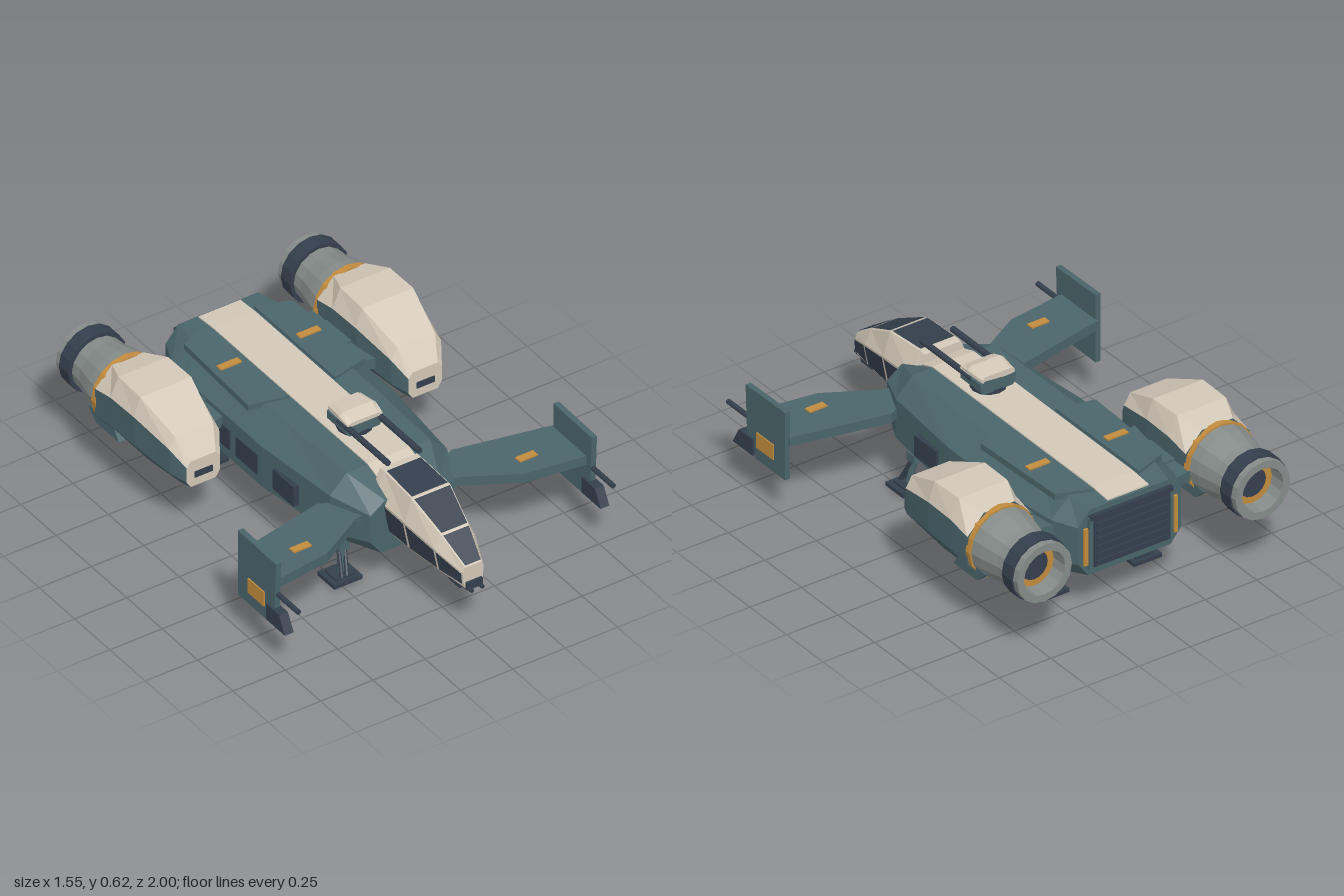
import * as THREE from 'three';

const mat = (name, color) => {
  const m = new THREE.MeshStandardMaterial({ color });
  m.name = name;
  return m;
};
const teal = mat('teal hull', 0x4a656b);
const cream = mat('cream panel', 0xd3c8b8);
const dark = mat('dark navy', 0x343f4d);
const grey = mat('engine grey', 0x858c89);
const orange = mat('orange accent', 0xc28c3e);

export function createModel() {
  const root = new THREE.Group();
  root.name = 'dropship';

  const add = (name, geo, material) => {
    const m = new THREE.Mesh(geo, material);
    m.name = name;
    root.add(m);
    return m;
  };
  const flat = (g) => {
    const n = g.index ? g.toNonIndexed() : g;
    n.computeVertexNormals();
    return n;
  };
  const box = (name, material, w, h, d, x, y, z) => {
    const m = add(name, new THREE.BoxGeometry(w, h, d), material);
    m.position.set(x, y, z);
    return m;
  };
  // round bar between two points
  const rod = (name, material, a, b, r, sides = 8) => {
    const p = new THREE.Vector3(...a), q = new THREE.Vector3(...b);
    const m = add(name, flat(new THREE.CylinderGeometry(r, r, p.distanceTo(q), sides)), material);
    m.position.copy(p).add(q).multiplyScalar(0.5);
    m.quaternion.setFromUnitVectors(new THREE.Vector3(0, 1, 0), q.sub(p).normalize());
    return m;
  };
  const extrude = (pts, depth) => new THREE.ExtrudeGeometry(
    new THREE.Shape(pts.map(([x, y]) => new THREE.Vector2(x, y))), { depth, bevelEnabled: false });
  // flat slab from an outline in x and z
  const slab = (name, material, pts, y, h) => {
    const m = add(name, extrude(pts.map(([x, z]) => [x, -z]), h).rotateX(-Math.PI / 2), material);
    m.position.y = y;
    return m;
  };
  // upright slab from an outline in z and y
  const fin = (name, material, pts, x, t) => {
    const m = add(name, extrude(pts.map(([z, y]) => [-z, y]), t).rotateY(Math.PI / 2), material);
    m.position.x = x - t / 2;
    return m;
  };
  // eight-sided section: half widths of top, shoulder, flank, belly and their heights
  const oct = (z, t, w, v, b, yt, ys, yl, yb) =>
    [[v, yl], [w, ys], [t, yt], [-t, yt], [-w, ys], [-v, yl], [-b, yb], [b, yb]]
      .map(([x, y]) => new THREE.Vector3(x, y, z));
  // skin over sections listed front to back; one material index per band, then front and back caps
  const loft = (name, rings, mats, bands, caps = [0, 0]) => {
    const lists = mats.map(() => []);
    const n = rings[0].length;
    const tri = (k, ...v) => v.forEach((p) => lists[k].push(p.x, p.y, p.z));
    for (let r = 0; r + 1 < rings.length; r++) {
      for (let i = 0; i < n; i++) {
        const j = (i + 1) % n, F = rings[r], B = rings[r + 1], k = bands[i] || 0;
        tri(k, F[i], B[i], F[j]);
        tri(k, F[j], B[i], B[j]);
      }
    }
    const first = rings[0], last = rings[rings.length - 1];
    for (let i = 1; i + 1 < n; i++) {
      tri(caps[0], first[0], first[i], first[i + 1]);
      tri(caps[1], last[0], last[i + 1], last[i]);
    }
    const g = new THREE.BufferGeometry();
    g.setAttribute('position', new THREE.Float32BufferAttribute(lists.flat(), 3));
    let start = 0;
    lists.forEach((l, k) => { g.addGroup(start, l.length / 3, k); start += l.length / 3; });
    g.computeVertexNormals();
    return add(name, g, mats);
  };
  // thin glass pane lying on one facet between two sections
  const pane = (F, B, i) => {
    const c = [F[i], B[i], B[i + 1], F[i + 1]];
    const mid = c.reduce((s, p) => s.add(p), new THREE.Vector3()).multiplyScalar(0.25);
    const nrm = c[2].clone().sub(c[0]).cross(c[3].clone().sub(c[1])).normalize();
    const q = c.map((p) => p.clone().lerp(mid, 0.07).addScaledVector(nrm, 0.005));
    const g = new THREE.BufferGeometry().setFromPoints([q[0], q[1], q[2], q[0], q[2], q[3]]);
    g.computeVertexNormals();
    add('cockpitWindow', g, dark);
  };
  const turned = (name, material, pts, x, y) => {
    const g = new THREE.LatheGeometry(pts.map(([r, z]) => new THREE.Vector2(r, z)), 16);
    add(name, flat(g.rotateX(Math.PI / 2)), material).position.set(x, y, 0);
  };

  // fuselage
  loft('hull', [
    oct(0.54, 0.13, 0.2, 0.2, 0.15, 0.45, 0.4, 0.27, 0.2),
    oct(0.37, 0.2, 0.28, 0.28, 0.21, 0.51, 0.43, 0.25, 0.185),
    oct(-0.05, 0.21, 0.32, 0.32, 0.25, 0.51, 0.43, 0.235, 0.17),
    oct(-0.55, 0.21, 0.32, 0.32, 0.25, 0.51, 0.43, 0.235, 0.17),
    oct(-0.72, 0.21, 0.3, 0.3, 0.24, 0.51, 0.43, 0.24, 0.175),
    oct(-0.835, 0.19, 0.25, 0.25, 0.2, 0.5, 0.43, 0.26, 0.195),
  ], [teal], []);
  loft('dorsalStripe', [[0.48, 0.479], [0.37, 0.515], [-0.72, 0.515], [-0.825, 0.507]].map(([z, y]) =>
    [[0.1, y - 0.02], [0.1, y], [-0.1, y], [-0.1, y - 0.02]].map(([x, h]) => new THREE.Vector3(x, h, z))),
  [cream], []);

  // cockpit and its glass
  const nose = [
    oct(0.97, 0.04, 0.05, 0.045, 0.04, 0.345, 0.32, 0.265, 0.245),
    oct(0.84, 0.066, 0.095, 0.075, 0.06, 0.435, 0.375, 0.275, 0.25),
    oct(0.67, 0.092, 0.125, 0.1, 0.08, 0.52, 0.415, 0.285, 0.255),
    oct(0.47, 0.088, 0.135, 0.11, 0.09, 0.532, 0.43, 0.29, 0.255),
    oct(0.44, 0.088, 0.13, 0.11, 0.09, 0.53, 0.43, 0.29, 0.255),
  ];
  loft('cockpit', nose, [cream], []);
  for (let r = 0; r < 3; r++) [0, 2, 4].forEach((i) => pane(nose[r], nose[r + 1], i));
  box('noseSensor', dark, 0.09, 0.04, 0.08, 0, 0.247, 0.9);
  box('noseTip', dark, 0.075, 0.035, 0.03, 0, 0.255, 0.967);

  // roof turret
  rod('turretRing', dark, [0, 0.505, 0.13], [0, 0.535, 0.13], 0.075, 12);
  loft('turretBody', [
    oct(0.2, 0.065, 0.085, 0.085, 0.07, 0.59, 0.58, 0.545, 0.53),
    oct(0.06, 0.065, 0.085, 0.085, 0.07, 0.59, 0.58, 0.545, 0.53),
  ], [teal], []);
  loft('turretCap', [
    oct(0.205, 0.06, 0.082, 0.085, 0.075, 0.598, 0.594, 0.588, 0.58),
    oct(0.15, 0.07, 0.088, 0.088, 0.075, 0.62, 0.607, 0.59, 0.58),
    oct(0.06, 0.06, 0.078, 0.08, 0.07, 0.61, 0.6, 0.588, 0.58),
  ], [cream], []);

  // rear cargo grille
  box('rampFrame', teal, 0.41, 0.24, 0.02, 0, 0.345, -0.838);
  box('rearGrille', dark, 0.37, 0.22, 0.02, 0, 0.345, -0.844);
  for (let i = 0; i < 6; i++) box('grilleBar', dark, 0.35, 0.014, 0.012, 0, 0.257 + i * 0.035, -0.855);
  box('rampLintel', dark, 0.4, 0.02, 0.03, 0, 0.465, -0.84);

  for (const s of [1, -1]) {
    const mx = (pts) => pts.map(([x, z]) => [s * x, z]);

    rod('noseGun', dark, [s * 0.025, 0.242, 0.93], [s * 0.025, 0.242, 1], 0.009);
    rod('turretBarrel', dark, [s * 0.075, 0.572, 0.13], [s * 0.075, 0.572, 0.48], 0.013);
    box('rampLight', orange, 0.018, 0.17, 0.014, s * 0.218, 0.335, -0.84);

    // roof plates and vents
    slab('roofPanel', teal, mx([[0.11, -0.745], [0.26, -0.69], [0.28, -0.21], [0.11, -0.17]]), 0.493, 0.028);
    box('roofVent', orange, 0.1, 0.008, 0.032, s * 0.19, 0.524, -0.475);

    // side windows
    for (const z of [0.105, -0.155, -0.35]) box('sideWindow', dark, 0.03, 0.095, 0.15, s * 0.31, 0.325, z);

    // front wing with tip fin and gun
    slab('frontWing', teal, mx([[0.2, 0.5], [0.2, 0.4], [0.32, 0.34], [0.75, 0.43], [0.75, 0.675], [0.47, 0.635], [0.25, 0.51]]), 0.347, 0.043);
    box('wingVent', orange, 0.085, 0.008, 0.034, s * 0.54, 0.393, 0.547);
    fin('wingTipFin', teal, [[0.44, 0.19], [0.64, 0.19], [0.7, 0.28], [0.71, 0.5], [0.44, 0.505]], s * 0.754, 0.025);
    fin('wingTipPod', dark, [[0.65, 0.2], [0.785, 0.2], [0.745, 0.275], [0.65, 0.275]], s * 0.754, 0.042);
    rod('wingGun', dark, [s * 0.752, 0.345, 0.64], [s * 0.752, 0.345, 0.85], 0.011);
    box('finMarker', orange, 0.008, 0.07, 0.115, s * 0.768, 0.283, 0.573);

    // engine pylon
    slab('enginePylon', teal, mx([[0.25, -0.74], [0.44, -0.7], [0.44, -0.3], [0.28, -0.34]]), 0.36, 0.05);
    box('pylonBlock', teal, 0.07, 0.07, 0.17, s * 0.35, 0.385, -0.535);

    // engine nacelle
    const ex = s * 0.53, ey = 0.41;
    loft('engineNacelle', [
      oct(-0.155, 0.06, 0.08, 0.08, 0.06, 0.405, 0.38, 0.31, 0.28),
      oct(-0.22, 0.09, 0.12, 0.115, 0.07, 0.5, 0.45, 0.33, 0.272),
      oct(-0.42, 0.122, 0.153, 0.15, 0.08, 0.585, 0.5, 0.36, 0.26),
      oct(-0.58, 0.118, 0.157, 0.155, 0.08, 0.587, 0.5, 0.36, 0.26),
      oct(-0.69, 0.075, 0.155, 0.155, 0.07, 0.56, 0.475, 0.345, 0.26),
    ], [teal, cream], [0, 1, 1, 1], [1, 0]).position.x = ex;
    box('intakeSlot', dark, 0.085, 0.028, 0.008, ex, 0.335, -0.154);
    for (const k of [1, -1]) {
      fin('nacelleSkirt', teal, [[-0.56, 0.28], [-0.6, 0.34], [-0.78, 0.335], [-0.72, 0.28]], ex + k * 0.115, 0.03);
    }
    turned('engineBand', orange, [[0.14, -0.712], [0.16, -0.712], [0.16, -0.683], [0.14, -0.683]], ex, ey);
    turned('engineCone', grey, [[0.122, -0.91], [0.127, -0.85], [0.147, -0.76], [0.155, -0.69]], ex, ey);
    turned('nozzleCollar', dark, [[0.12, -0.97], [0.14, -0.97], [0.14, -0.903], [0.12, -0.903]], ex, ey);
    turned('nozzleLip', grey, [[0.095, -0.92], [0.1, -1], [0.133, -1], [0.133, -0.965]], ex, ey);
    turned('nozzleCore', dark, [[0, -0.922], [0.1, -0.922]], ex, ey);
    turned('nozzleGlow', orange, [[0.065, -0.93], [0.094, -0.93]], ex, ey);

    // landing legs
    for (const z of [0.36, -0.585]) {
      box('legMount', teal, 0.05, 0.04, 0.05, s * 0.205, 0.15, z - 0.02);
      rod('legStrut', teal, [s * 0.205, 0.15, z - 0.02], [s * 0.222, 0.02, z], 0.015);
      rod('legPiston', dark, [s * 0.19, 0.14, z - 0.02], [s * 0.215, 0.025, z + 0.035], 0.009);
      rod('legBrace', dark, [s * 0.22, 0.14, z - 0.02], [s * 0.24, 0.025, z + 0.035], 0.009);
      box('footPad', dark, 0.135, 0.018, 0.12, s * 0.225, 0.012, z);
      box('footSole', dark, 0.09, 0.03, 0.08, s * 0.225, 0.015, z);
    }
  }
  return root;
}
